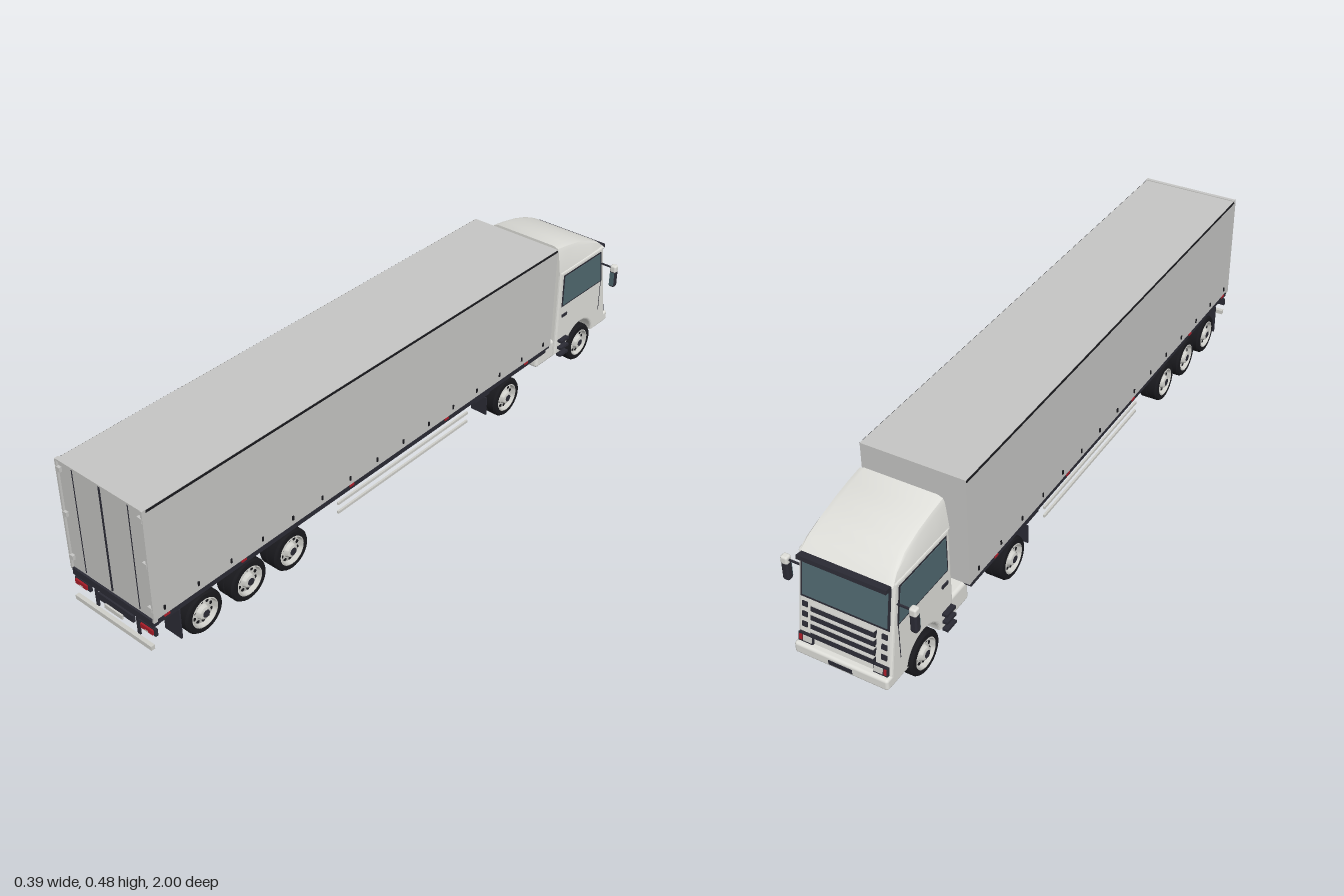
import * as THREE from 'three';
import { toCreasedNormals } from 'three/addons/utils/BufferGeometryUtils.js';
import { RoundedBoxGeometry } from 'three/addons/geometries/RoundedBoxGeometry.js';

const material = (name, color) => {
  const m = new THREE.MeshStandardMaterial({ color });
  m.name = name;
  return m;
};

export function createModel() {
  const grey = material('trailer grey', 0xc6c6c4);
  const white = material('cab white', 0xdfdfda);
  const dark = material('frame dark', 0x2b2b35);
  const black = material('tyre black', 0x19191d);
  const glass = material('glass teal', 0x4f686f);
  const red = material('lamp red', 0xa81c28);
  const silver = material('rim silver', 0xcfcfca);

  const truck = new THREE.Group();
  truck.name = 'truck';
  const group = (name, parent = truck) => {
    const g = new THREE.Group();
    g.name = name;
    parent.add(g);
    return g;
  };
  const add = (parent, name, geo, mat, x = 0, y = 0, z = 0) => {
    const m = new THREE.Mesh(geo, mat);
    m.name = name;
    m.position.set(x, y, z);
    parent.add(m);
    return m;
  };
  const box = (parent, name, mat, w, h, d, x, y, z) =>
    add(parent, name, new THREE.BoxGeometry(w, h, d), mat, x, y, z);
  // Extrude a (z, y) outline across x, centred
  const across = (shape, width, bevel = 0) => {
    const geo = new THREE.ExtrudeGeometry(shape, {
      depth: width - 2 * bevel, bevelEnabled: bevel > 0, bevelSize: bevel, bevelThickness: bevel,
      bevelOffset: -bevel, bevelSegments: 3, curveSegments: 20,
    });
    geo.translate(0, 0, -(width - 2 * bevel) / 2);
    return geo.rotateY(-Math.PI / 2);
  };
  const outline = (pts) => new THREE.Shape(pts.map((p) => new THREE.Vector2(...p)));
  const SIDES = [-1, 1];

  // ---- Trailer ----
  const trailer = group('trailer');
  box(trailer, 'cargoBox', grey, 0.308, 0.337, 1.635, 0, 0.314, 0.1685);
  box(trailer, 'trailerFloor', dark, 0.296, 0.022, 1.61, 0, 0.135, 0.172);
  box(trailer, 'trailerUnderside', black, 0.28, 0.002, 1.6, 0, 0.1235, 0.172);
  box(trailer, 'doorGap', dark, 0.004, 0.326, 0.004, 0, 0.316, 0.987);
  box(trailer, 'doorHeader', grey, 0.31, 0.005, 0.012, 0, 0.482, 0.985);
  box(trailer, 'rearBeam', dark, 0.3, 0.021, 0.02, 0, 0.135, 0.982);
  box(trailer, 'underrunBar', silver, 0.286, 0.013, 0.012, 0, 0.057, 0.994);
  box(trailer, 'numberPlate', silver, 0.066, 0.013, 0.005, 0, 0.088, 0.992);
  box(trailer, 'plateHolder', dark, 0.13, 0.022, 0.008, 0, 0.096, 0.982);
  for (const s of SIDES) {
    box(trailer, 'topTrim', black, 0.003, 0.006, 1.63, s * 0.1545, 0.478, 0.168);
    box(trailer, 'bottomTrim', dark, 0.003, 0.006, 1.62, s * 0.153, 0.144, 0.168);
    box(trailer, 'rearPost', grey, 0.006, 0.343, 0.012, s * 0.153, 0.313, 0.986);
    box(trailer, 'doorRod', dark, 0.002, 0.326, 0.003, s * 0.1, 0.316, 0.986);
    for (const y of [0.182, 0.32, 0.457])
      box(trailer, 'doorHinge', grey, 0.015, 0.014, 0.008, s * 0.146, y, 0.99);
    box(trailer, 'lampPanel', dark, 0.058, 0.022, 0.008, s * 0.122, 0.104, 0.984);
    box(trailer, 'tailLamp', red, 0.044, 0.014, 0.006, s * 0.123, 0.105, 0.99);
    box(trailer, 'reverseLamp', silver, 0.012, 0.005, 0.007, s * 0.123, 0.1, 0.99);
    box(trailer, 'lampBracket', dark, 0.008, 0.074, 0.006, s * 0.078, 0.09, 0.98);
    box(trailer, 'mudFlap', dark, 0.06, 0.095, 0.005, s * 0.121, 0.078, 0.908);
    for (let i = 0; i < 15; i++)
      box(trailer, 'curtainBuckle', black, 0.004, 0.013, 0.005, s * 0.155, 0.17, 0.955 - i * 0.1115);
    for (const z of [0.95, 0.69, 0.28, -0.13, -0.52])
      box(trailer, 'sideMarker', red, 0.004, 0.006, 0.018, s * 0.1545, 0.144, z);
    for (const y of [0.1, 0.07])
      box(trailer, 'sideGuardRail', silver, 0.006, 0.008, 0.57, s * 0.143, y, 0.04);
  }

  // ---- Wheels ----
  const lathe = (pts) => toCreasedNormals(new THREE.LatheGeometry(
    pts.map((p) => new THREE.Vector2(...p)), 32).rotateZ(-Math.PI / 2), 0.5);
  const tyreGeo = lathe([[0, -0.03], [0.05, -0.033], [0.058, -0.031], [0.062, -0.025], [0.062, -0.003],
    [0.059, -0.002], [0.059, 0.002], [0.062, 0.003], [0.062, 0.025], [0.058, 0.031], [0.05, 0.033],
    [0.041, 0.031], [0.038, 0.016]]);
  const rimGeo = lathe([[0.044, 0.032], [0.041, 0.033], [0.038, 0.019], [0.022, 0.023], [0.018, 0.033],
    [0.012, 0.036], [0, 0.036]]);
  const holeGeo = new THREE.CylinderGeometry(0.005, 0.005, 0.004, 10).rotateZ(-Math.PI / 2);
  const nutGeo = new THREE.CylinderGeometry(0.011, 0.011, 0.003, 16).rotateZ(-Math.PI / 2);
  const addWheels = (name, x, z) => {
    for (const s of SIDES) {
      const wheel = group(name);
      wheel.position.set(s * x, 0.063, z);
      if (s < 0) wheel.rotation.y = Math.PI;
      add(wheel, 'tyre', tyreGeo, black);
      add(wheel, 'rim', rimGeo, silver);
      add(wheel, 'hubCap', nutGeo, dark, 0.0355);
      for (let i = 0; i < 10; i++) {
        const a = i * Math.PI / 5;
        add(wheel, 'rimHole', holeGeo, black, 0.0205, 0.03 * Math.cos(a), 0.03 * Math.sin(a));
      }
    }
    add(truck, 'axle', new THREE.CylinderGeometry(0.005, 0.005, 2 * x, 10).rotateZ(Math.PI / 2), dark, 0, 0.058, z);
  };
  for (const z of [0.83, 0.673, 0.516]) addWheels('trailerWheel', 0.122, z);
  addWheels('driveWheel', 0.122, -0.43);
  addWheels('steerWheel', 0.108, -0.837);

  // ---- Tractor chassis ----
  const chassis = group('chassis');
  for (const s of SIDES) {
    box(chassis, 'frameRail', dark, 0.014, 0.03, 0.45, s * 0.058, 0.1, -0.5);
    box(chassis, 'driveMudFlap', dark, 0.055, 0.06, 0.004, s * 0.118, 0.075, -0.337);
    box(chassis, 'driveFender', dark, 0.055, 0.008, 0.07, s * 0.118, 0.119, -0.315);
    box(chassis, 'fenderArm', dark, 0.06, 0.012, 0.02, s * 0.085, 0.108, -0.29);
    add(chassis, 'fuelTank', new RoundedBoxGeometry(0.058, 0.065, 0.11, 3, 0.01), white, s * 0.1, 0.097, -0.672);
    for (const y of [0.075, 0.1, 0.125])
      box(chassis, 'cabStep', dark, 0.016, 0.008, 0.042, s * 0.145, y, -0.735);
  }
  box(chassis, 'couplingPlate', dark, 0.1, 0.012, 0.13, 0, 0.119, -0.43);
  box(chassis, 'rearCrossMember', dark, 0.13, 0.022, 0.012, 0, 0.1, -0.28);
  box(chassis, 'engineCover', dark, 0.13, 0.055, 0.07, 0, 0.112, -0.68);
  box(chassis, 'wheelWell', black, 0.14, 0.075, 0.17, 0, 0.112, -0.837);
  box(chassis, 'cabUnderside', black, 0.25, 0.004, 0.06, 0, 0.074, -0.945);

  // ---- Cab body with wheel arches ----
  const cab = group('cab');
  const profile = new THREE.Shape();
  profile.moveTo(-0.985, 0.075);
  profile.lineTo(-0.911, 0.075);
  profile.absarc(-0.837, 0.066, 0.074, Math.PI - 0.12, 0.12, true);
  profile.lineTo(-0.703, 0.075);
  profile.lineTo(-0.703, 0.372);
  profile.lineTo(-0.938, 0.372);
  profile.lineTo(-0.982, 0.1);
  add(cab, 'cabBody', across(profile, 0.276, 0.008), white);

  // Roof fairing lofted from back to front: [z, half width at top, top height]
  const sections = [[-0.7, 0.126, 0.458], [-0.75, 0.126, 0.45], [-0.81, 0.126, 0.437],
    [-0.87, 0.127, 0.417], [-0.915, 0.129, 0.395], [-0.944, 0.131, 0.37]];
  const base = 0.364, N = 8, verts = [], faces = [];
  for (const [z, w, top] of sections) {
    const h = top - base;
    const half = [[0.136, base], [w, base + h * 0.8], [w - 0.005, top - h * 0.06], [w - 0.02, top]];
    for (const [x, y] of half) verts.push(-x, y, z);
    for (const [x, y] of half.reverse()) verts.push(x, y, z);
  }
  for (let i = 0; i < sections.length - 1; i++)
    for (let j = 0; j < N - 1; j++) {
      const a = i * N + j;
      faces.push(a, a + 1, a + N, a + 1, a + N + 1, a + N);
    }
  for (let j = 1; j < N - 1; j++) faces.push(0, j + 1, j);
  const fairing = new THREE.BufferGeometry();
  fairing.setAttribute('position', new THREE.Float32BufferAttribute(verts, 3));
  fairing.setIndex(faces);
  add(cab, 'roofFairing', toCreasedNormals(fairing, 0.5), white);

  // Side windows, door details and mirrors
  const windowFrame = outline([[-0.72, 0.246], [-0.942, 0.246], [-0.924, 0.358], [-0.72, 0.358]]);
  const windowPane = outline([[-0.726, 0.251], [-0.935, 0.251], [-0.919, 0.353], [-0.726, 0.353]]);
  for (const s of SIDES) {
    add(cab, 'sideWindowFrame', across(windowFrame, 0.003), dark, s * 0.1375);
    add(cab, 'sideWindow', across(windowPane, 0.004), glass, s * 0.1385);
    box(cab, 'doorHandle', dark, 0.005, 0.009, 0.026, s * 0.139, 0.212, -0.738);
    box(cab, 'doorSeam', dark, 0.002, 0.11, 0.002, s * 0.1378, 0.195, -0.938);
    const mirror = group('mirror', cab);
    mirror.position.set(s * 0.185, 0, -0.935);
    add(mirror, 'mirrorHousing', new RoundedBoxGeometry(0.02, 0.06, 0.02, 2, 0.006), dark, 0, 0.277, 0);
    add(mirror, 'mirrorCap', new RoundedBoxGeometry(0.021, 0.025, 0.021, 2, 0.006), white, 0, 0.31, 0);
    box(mirror, 'mirrorGlass', glass, 0.015, 0.046, 0.003, 0, 0.276, 0.0095);
    box(mirror, 'mirrorArm', dark, 0.052, 0.004, 0.005, -s * 0.028, 0.311, 0);
  }

  // Sloping front panel: windscreen, grille and lamps
  const front = group('frontPanel', cab);
  front.position.set(0, 0.1, -0.982);
  front.rotation.x = Math.atan(0.044 / 0.272);
  box(front, 'windscreenFrame', dark, 0.258, 0.122, 0.004, 0, 0.202, -0.001);
  box(front, 'windscreen', glass, 0.246, 0.104, 0.006, 0, 0.2, -0.002);
  box(front, 'sunVisor', dark, 0.256, 0.012, 0.022, 0, 0.262, -0.011);
  box(front, 'grilleBack', black, 0.18, 0.102, 0.005, 0, 0.08, -0.001);
  for (let i = 0; i < 4; i++) {
    const y = 0.044 + i * 0.026;
    box(front, 'grilleSlat', dark, 0.184, 0.016, 0.012, 0, y, -0.006);
    box(front, 'grilleTrim', silver, 0.184, 0.003, 0.013, 0, y + 0.009, -0.0065);
  }
  for (const s of SIDES) {
    for (const y of [0.06, 0.09, 0.12])
      box(front, 'cornerVent', dark, 0.016, 0.014, 0.005, s * 0.116, y, -0.001);
    box(front, 'headlampSurround', dark, 0.042, 0.026, 0.008, s * 0.11, 0.023, -0.003);
    box(front, 'headlamp', silver, 0.026, 0.016, 0.01, s * 0.104, 0.023, -0.004);
    box(front, 'turnLamp', red, 0.008, 0.016, 0.01, s * 0.124, 0.023, -0.004);
  }
  add(cab, 'bumper', new RoundedBoxGeometry(0.276, 0.034, 0.075, 3, 0.008), white, 0, 0.093, -0.9615);
  box(cab, 'bumperPlate', dark, 0.07, 0.014, 0.004, 0, 0.092, -0.998);
  return truck;
}
